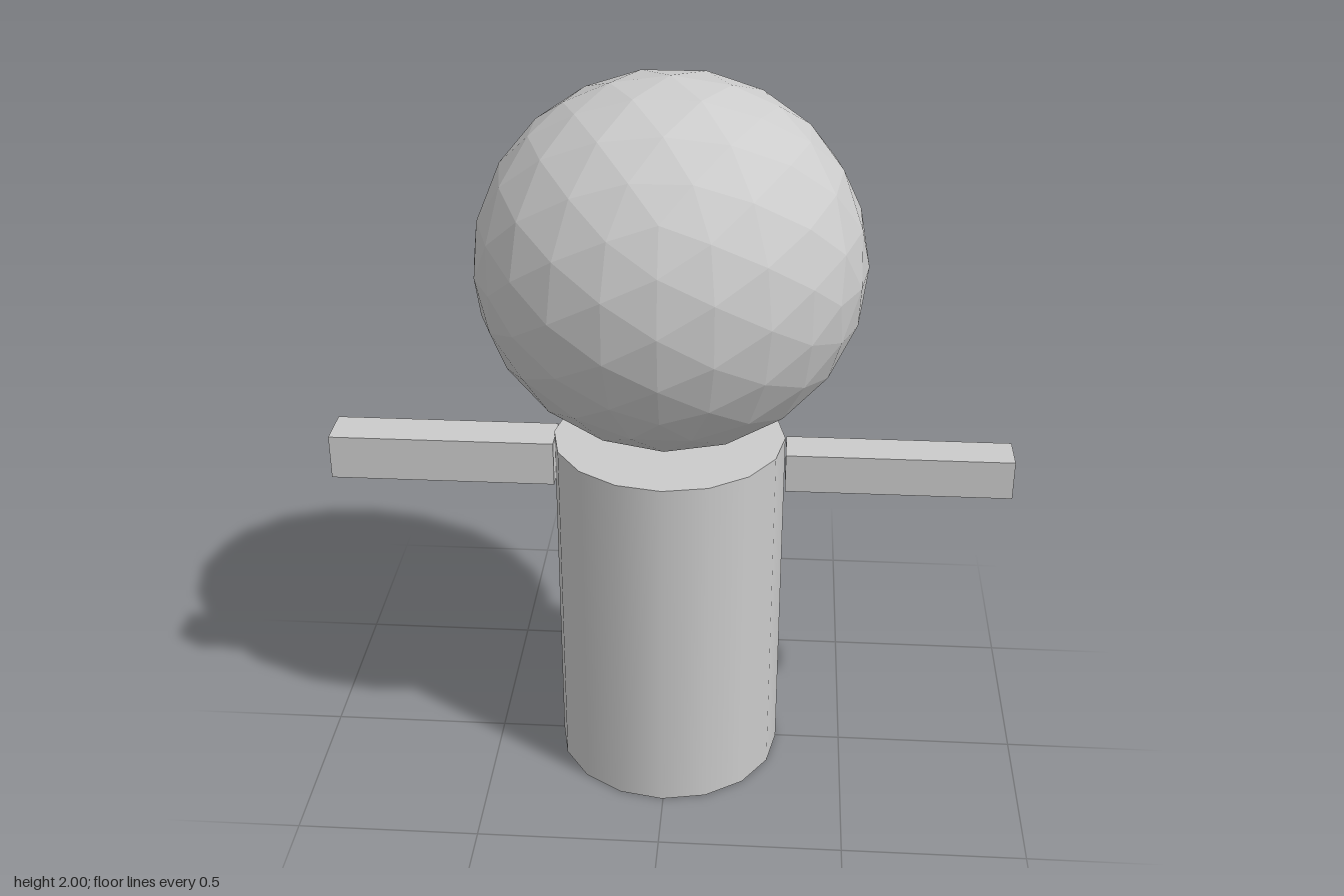
import * as THREE from 'three';

export function createModel() {
  const group = new THREE.Group();
  const smooth = new THREE.MeshStandardMaterial({ color: 0xcccccc });
  const faceted = new THREE.MeshStandardMaterial({ color: 0xcccccc, flatShading: true });

  function add(name, geometry, material, x, y, z) {
    const mesh = new THREE.Mesh(geometry, material);
    mesh.name = name;
    mesh.position.set(x, y, z);
    group.add(mesh);
    return mesh;
  }

  // Upright body with smooth sides and flat caps
  add('body', new THREE.CylinderGeometry(0.316, 0.316, 1, 16), smooth, -0.003, 0.5, 0);

  // Faceted head, slightly wider than tall
  const head = add('head', new THREE.IcosahedronGeometry(1, 3), faceted, 0, 1.506, 0);
  head.scale.set(0.514, 0.494, 0.494);

  // Straight square arms, the right one a little thicker
  add('leftArm', new THREE.BoxGeometry(0.614, 0.11, 0.114), faceted, 0.623, 0.92, -0.002);
  add('rightArm', new THREE.BoxGeometry(0.618, 0.125, 0.124), faceted, -0.625, 0.928, -0.002);

  return group;
}
